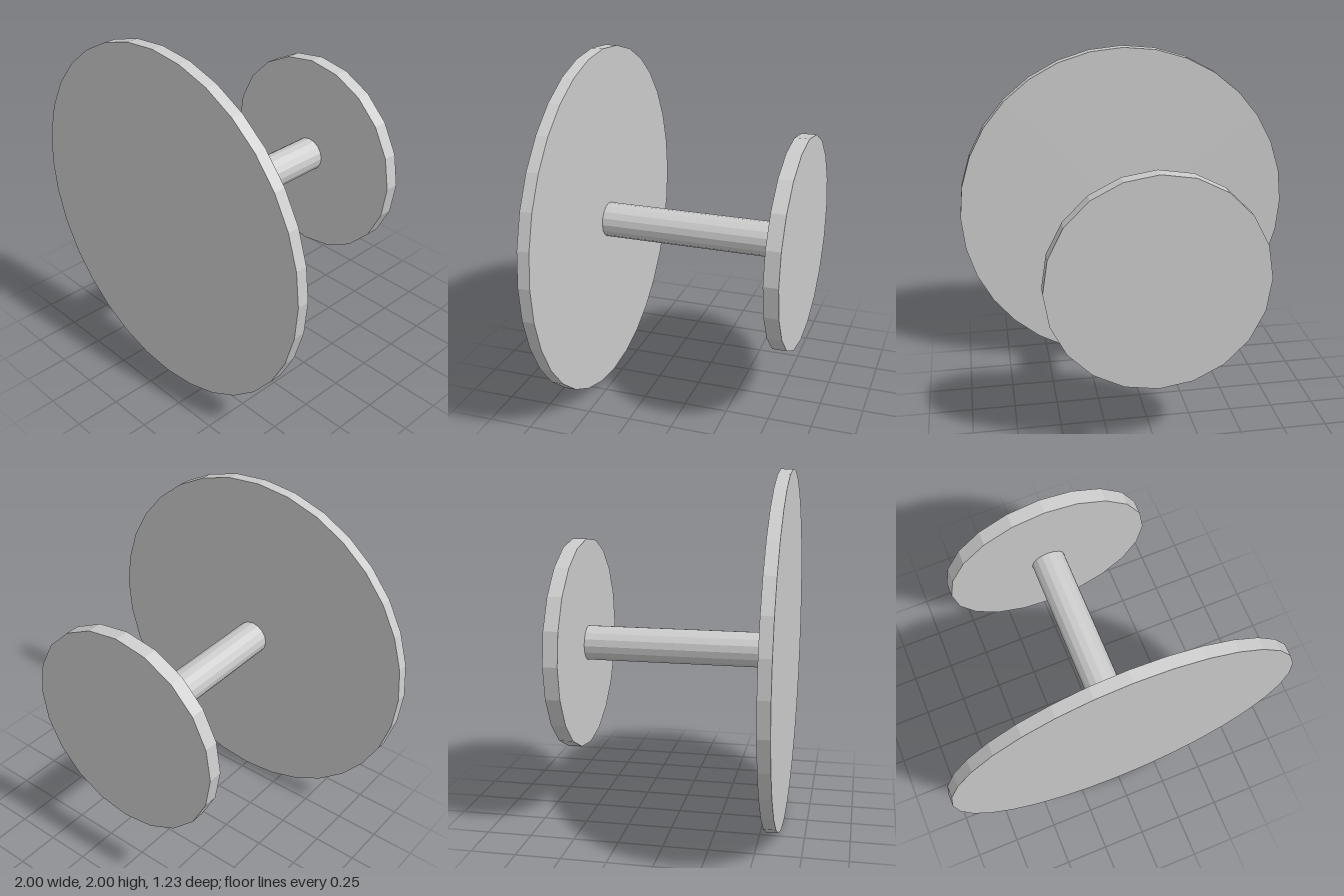
import * as THREE from 'three';

export function createModel() {
  const group = new THREE.Group();
  const material = new THREE.MeshStandardMaterial({ color: 0xcccccc, flatShading: true });

  // Cylinder along z between two depths, on the shared axis at y = 1
  const addDisc = (name, radius, zBack, zFront, sides) => {
    const geometry = new THREE.CylinderGeometry(radius, radius, zFront - zBack, sides);
    geometry.rotateX(Math.PI / 2);
    const mesh = new THREE.Mesh(geometry, material);
    mesh.name = name;
    mesh.position.set(0, 1, (zBack + zFront) / 2);
    group.add(mesh);
  };

  addDisc('frontDisc', 1, 0.55, 0.617, 32);
  addDisc('shaft', 0.1, -0.535, 0.55, 16);
  addDisc('backDisc', 0.6, -0.617, -0.535, 20);

  return group;
}
